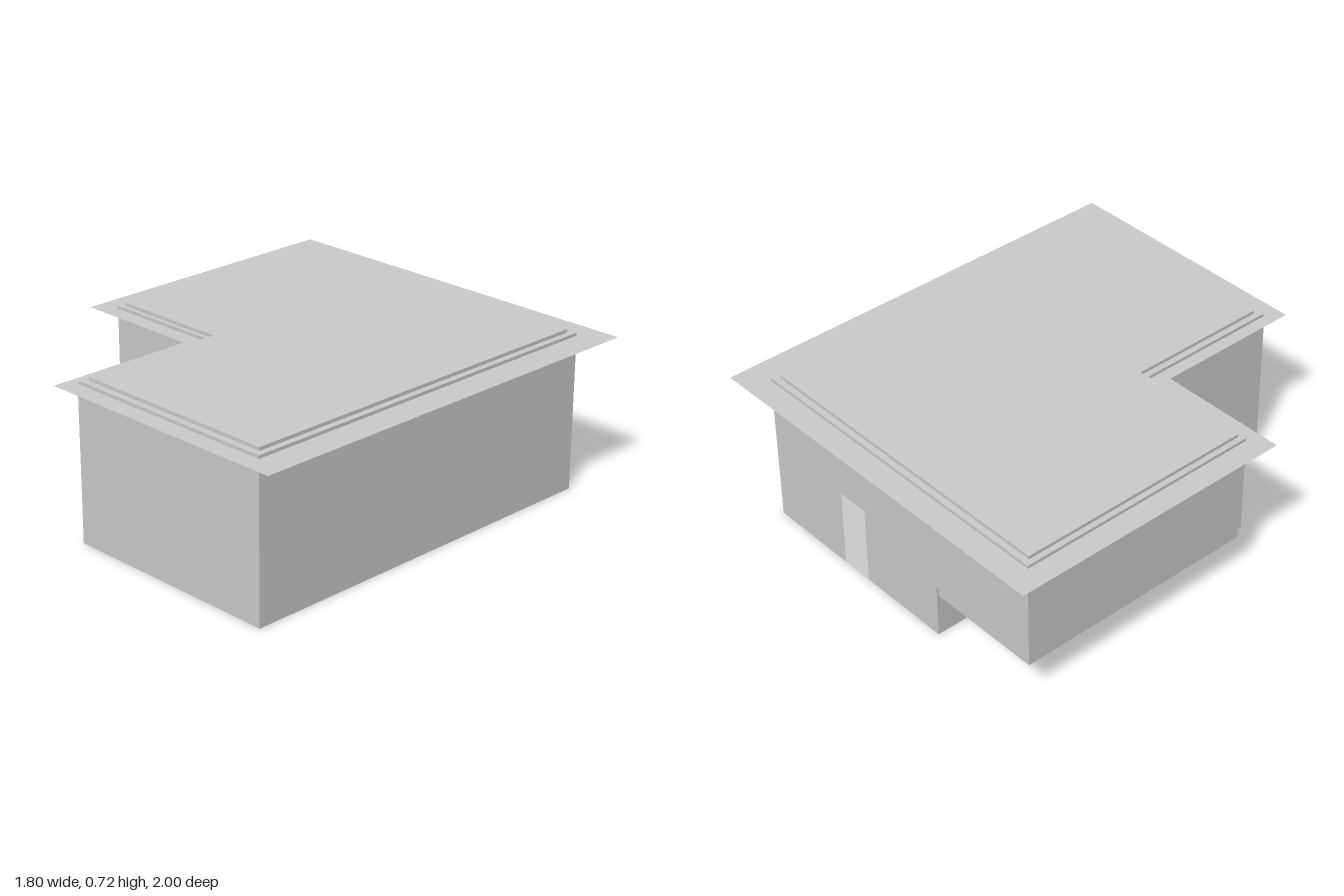
import * as THREE from 'three';

const solid = new THREE.MeshStandardMaterial({ color: 0xcccccc });
const sheet = new THREE.MeshStandardMaterial({ color: 0xcccccc, side: THREE.DoubleSide });

const shapeOf = (points) => new THREE.Shape(points.map(([a, b]) => new THREE.Vector2(a, b)));

const rect = (a0, a1, b0, b1) => [[a0, b0], [a1, b0], [a1, b1], [a0, b1]];

// L-shaped plan in (x, z): a rectangle with its left front corner cut away
const lPlan = (x0, x1, z0, z1, notchX, notchZ) =>
  [[x0, z0], [x1, z0], [x1, z1], [notchX, z1], [notchX, notchZ], [x0, notchZ]];

export function createModel() {
  const model = new THREE.Group();
  const add = (name, geometry, material) => {
    const mesh = new THREE.Mesh(geometry, material);
    mesh.name = name;
    model.add(mesh);
  };

  // Thin panels: points are (x, y) facing z, (z, y) facing x, or (x, z) lying flat
  const wallZ = (name, points, z) =>
    add(name, new THREE.ShapeGeometry(shapeOf(points)).translate(0, 0, z), sheet);
  const wallX = (name, points, x) =>
    add(name, new THREE.ShapeGeometry(shapeOf(points)).rotateY(-Math.PI / 2).translate(x, 0, 0), sheet);
  const flat = (name, points, y) =>
    add(name, new THREE.ShapeGeometry(shapeOf(points)).rotateX(Math.PI / 2).translate(0, y, 0), sheet);

  // Solid slab with a plan in (x, z), between two heights
  const slab = (name, points, y0, y1) =>
    add(name, new THREE.ExtrudeGeometry(shapeOf(points), { depth: y1 - y0, bevelEnabled: false })
      .rotateX(Math.PI / 2).translate(0, y1, 0), solid);

  const left = -0.8, right = 0.77, back = -0.89, front = 0.92;
  const hallX = -0.256, wingZ = 0.25, wingY = 0.25, top = 0.69;

  // Outer walls; the back wall has an open doorway and steps up under the raised wing
  wallZ('backWall', [
    [left, wingY], [hallX, wingY], [hallX, 0], [0.19, 0], [0.19, 0.36], [0.34, 0.36],
    [0.34, 0], [right, 0], [right, top], [left, top],
  ], back);
  wallZ('frontWall', rect(hallX, right, 0, top), front);
  wallZ('wingFrontWall', rect(left, hallX, wingY, top), wingZ);
  wallX('longSideWall', rect(back, front, 0, top), right);
  wallX('wingSideWall', rect(back, wingZ, wingY, top), left);
  wallX('innerSideWall', [
    [back, 0], [front, 0], [front, top], [wingZ, top], [wingZ, wingY], [back, wingY],
  ], hallX);

  // Floors and the slightly inset base below the wing
  flat('hallFloor', rect(hallX, right, back, front), 0);
  flat('wingFloor', rect(left, hallX, back, wingZ), wingY);
  slab('wingBase', rect(left + 0.008, hallX, back + 0.008, wingZ - 0.008), 0.2, wingY - 0.001);

  // Paper-thin eaves sheet, which is also the ceiling, and two stepped roof layers
  flat('eaves', lPlan(-0.9, 0.9, -1, 1, -0.305, 0.32), top);
  slab('lowerRoofLayer', lPlan(left, right, back, front, -0.25, wingZ), top + 0.001, 0.705);
  slab('upperRoofLayer', lPlan(-0.775, 0.742, -0.862, 0.89, -0.222, 0.23), 0.705, 0.72);

  return model;
}
